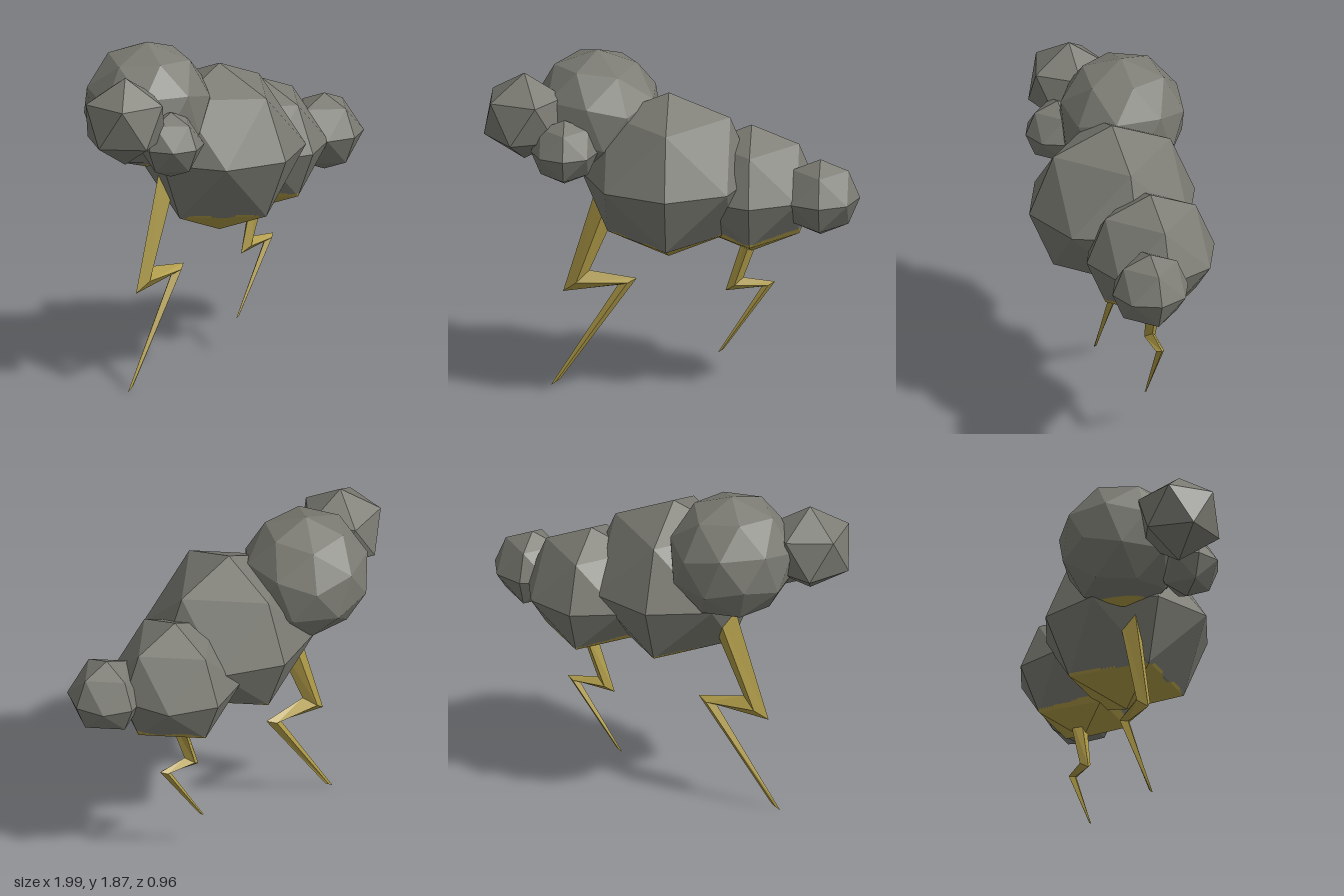
import * as THREE from 'three';
import { ConvexGeometry } from 'three/addons/geometries/ConvexGeometry.js';

const grey = new THREE.MeshStandardMaterial({ color: 0x7b7b73, flatShading: true });
grey.name = 'stormGrey';
const gold = new THREE.MeshStandardMaterial({ color: 0xb09c48, flatShading: true });
gold.name = 'lightningGold';

// Faceted ball from rings of [polar angle, azimuths], mirrored through its centre
function ringBall(radius, rings) {
  const points = [];
  for (const [polar, azimuths] of rings) {
    for (const azimuth of azimuths) {
      const p = new THREE.Vector3().setFromSphericalCoords(
        radius,
        THREE.MathUtils.degToRad(polar),
        THREE.MathUtils.degToRad(90 - azimuth)
      );
      points.push(p, p.clone().negate());
    }
  }
  return new ConvexGeometry(points);
}

const octaBall = (r) => new THREE.OctahedronGeometry(r, 1);
const icoBall = (r) => ringBall(r, [[0, [0]], [63.435, [0, 72, 144, 216, 288]]]);
const pentaBall = (r) => ringBall(r, [
  [0, [0]],
  [37.377, [0, 120, 240]],
  [41.81, [60, 180, 300]],
  [70.529, [22.2, 97.8, 142.2, 217.8, 262.2, 337.8]],
  [79.188, [60, 180, 300]],
]);

// Splits the underside faces finely and paints everything below a wavy line gold
function paintUnderside(geometry, level) {
  const src = (geometry.index ? geometry.toNonIndexed() : geometry).getAttribute('position');
  const parts = [[], []];
  const n = 24;
  const add = (a, b, c) => {
    const m = a.clone().add(b).add(c).divideScalar(3);
    const wave = 0.012 * Math.sin(22 * m.x + 14 * m.z);
    const list = parts[m.y < level + wave ? 1 : 0];
    for (const p of [a, b, c]) list.push(p.x, p.y, p.z);
  };
  for (let i = 0; i < src.count; i += 3) {
    const [a, b, c] = [0, 1, 2].map((k) => new THREE.Vector3().fromBufferAttribute(src, i + k));
    if (Math.min(a.y, b.y, c.y) > level + 0.02) {
      add(a, b, c);
      continue;
    }
    const u = b.clone().sub(a).divideScalar(n);
    const v = c.clone().sub(a).divideScalar(n);
    const at = (s, t) => a.clone().addScaledVector(u, s).addScaledVector(v, t);
    for (let s = 0; s < n; s++) {
      for (let t = 0; t < n - s; t++) {
        add(at(s, t), at(s + 1, t), at(s, t + 1));
        if (s + t < n - 1) add(at(s + 1, t), at(s + 1, t + 1), at(s, t + 1));
      }
    }
  }
  const out = new THREE.BufferGeometry();
  out.setAttribute('position', new THREE.Float32BufferAttribute([...parts[0], ...parts[1]], 3));
  out.addGroup(0, parts[0].length / 3, 0);
  out.addGroup(parts[0].length / 3, parts[1].length / 3, 1);
  out.computeVertexNormals();
  return out;
}

// Zigzag bolt with a diamond section; stations are [leftX, leftY, rightX, rightY, halfDepth]
function boltGeometry(stations, z) {
  const positions = [];
  const index = [];
  for (const [lx, ly, rx, ry, d] of stations) {
    const mx = (lx + rx) / 2;
    const my = (ly + ry) / 2;
    positions.push(lx, ly, z, mx, my, z + d, rx, ry, z, mx, my, z - d);
  }
  for (let i = 0; i < stations.length - 1; i++) {
    for (let j = 0; j < 4; j++) {
      const a = i * 4 + j;
      const b = i * 4 + ((j + 1) % 4);
      index.push(a, a + 4, b + 4, a, b + 4, b);
    }
  }
  const e = (stations.length - 1) * 4;
  index.push(0, 1, 2, 0, 2, 3, e, e + 2, e + 1, e, e + 3, e + 2);
  const g = new THREE.BufferGeometry();
  g.setAttribute('position', new THREE.Float32BufferAttribute(positions, 3));
  g.setIndex(index);
  const flat = g.toNonIndexed();
  flat.computeVertexNormals();
  return flat;
}

export function createModel() {
  const group = new THREE.Group();

  // Cloud puffs: name, shape, radius, centre, height of the gold underside
  const puffs = [
    ['mainPuff', octaBall, 0.46, [-0.02, 1.235, 0.015], 0.915],
    ['leftPuff', octaBall, 0.355, [0.415, 1.14, -0.06], 0.915],
    ['leftEndPuff', octaBall, 0.21, [0.785, 1.14, 0.06]],
    ['rightBackPuff', pentaBall, 0.345, [-0.405, 1.522, -0.16], 1.21],
    ['rightFrontPuff', octaBall, 0.178, [-0.567, 1.397, 0.142]],
    ['rightEndPuff', icoBall, 0.24, [-0.785, 1.55, 0.01]],
  ];
  for (const [name, shape, radius, centre, level] of puffs) {
    let geometry = shape(radius).translate(...centre);
    if (level) geometry = paintUnderside(geometry, level);
    const mesh = new THREE.Mesh(geometry, level ? [grey, gold] : grey);
    mesh.name = name;
    group.add(mesh);
  }

  // Lightning bolts under the cloud
  const bolts = {
    largeBolt: [
      [-0.385, 1.2, -0.21, 1.2, 0.06],
      [-0.585, 0.53, -0.445, 0.65, 0.038],
      [-0.295, 0.57, -0.195, 0.61, 0.028],
      [-0.65, 0, -0.6, 0.035, 0.004],
    ],
    smallBolt: [
      [0.415, 1, 0.505, 1, 0.055],
      [0.275, 0.55, 0.37, 0.625, 0.03],
      [0.467, 0.575, 0.537, 0.605, 0.022],
      [0.235, 0.2, 0.265, 0.22, 0.004],
    ],
  };
  for (const [name, stations] of Object.entries(bolts)) {
    const mesh = new THREE.Mesh(boltGeometry(stations, -0.085), gold);
    mesh.name = name;
    group.add(mesh);
  }
  return group;
}
